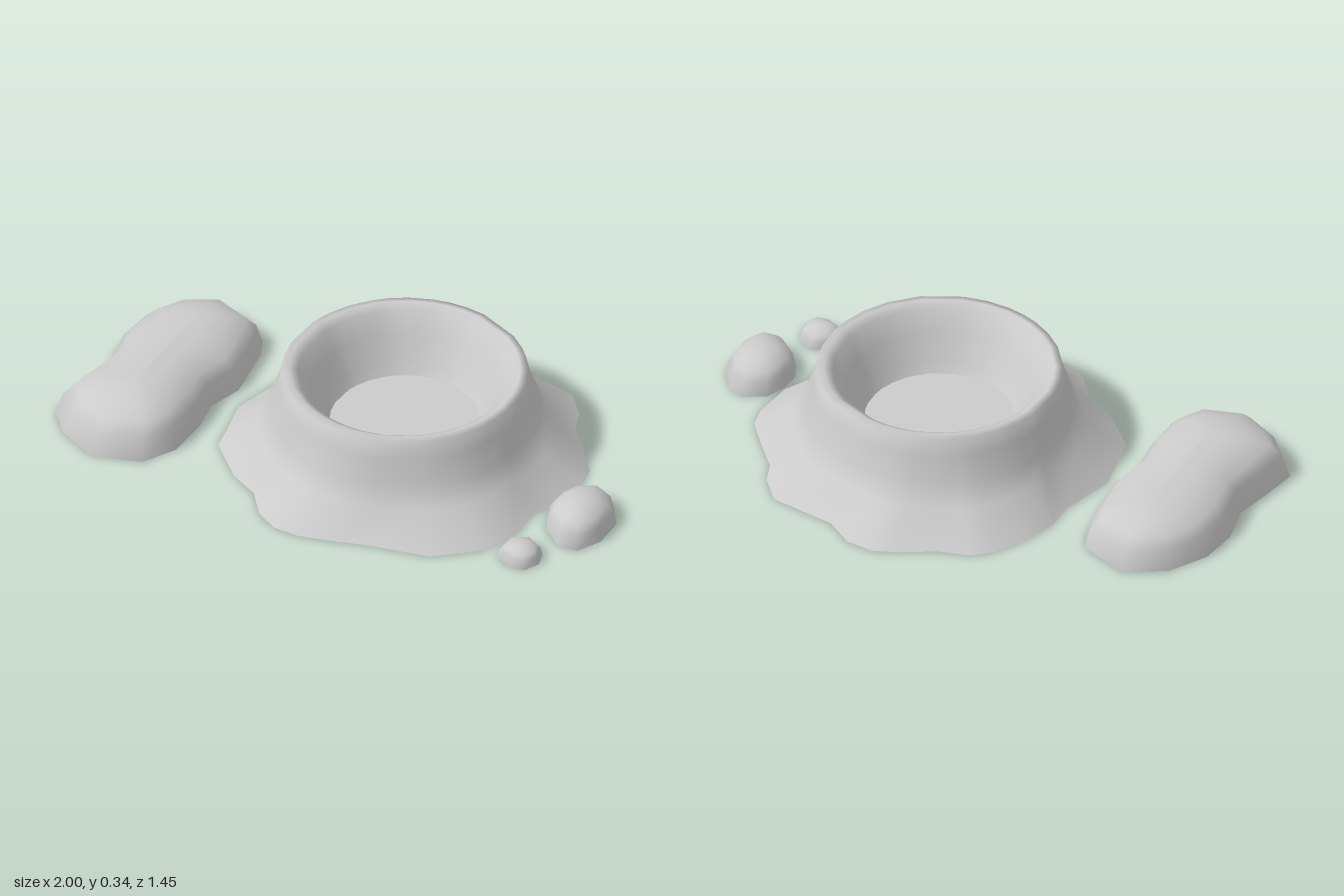
import * as THREE from 'three';
import { mergeVertices } from 'three/addons/utils/BufferGeometryUtils.js';

const material = new THREE.MeshStandardMaterial({ color: 0xcccccc, side: THREE.DoubleSide });

// Smooth open skin through closed rings of equal length, listed from the outside in.
function skin(name, rings) {
  const n = rings[0].length;
  const index = [];
  for (let i = 0; i < rings.length - 1; i++) {
    for (let j = 0; j < n; j++) {
      const a = i * n + j, b = i * n + (j + 1) % n;
      index.push(a, a + n, b, b, a + n, b + n);
    }
  }
  let geometry = new THREE.BufferGeometry();
  geometry.setAttribute('position', new THREE.Float32BufferAttribute(rings.flat(2), 3));
  geometry.setIndex(index);
  geometry = mergeVertices(geometry, 1e-4);
  geometry.computeVertexNormals();
  const mesh = new THREE.Mesh(geometry, material);
  mesh.name = name;
  return mesh;
}

// Rounded mound: a ground outline [x, z] drawn up onto a spine from a to b ([x, z, height]).
const dome = [[1, 0], [0.9, 0.5], [0.76, 0.72], [0.5, 0.9], [0.25, 0.975], [0, 1]];
function mound(name, outline, a, b) {
  const dx = b[0] - a[0], dz = b[1] - a[1];
  const len2 = dx * dx + dz * dz || 1;
  const rings = dome.map(([s, h]) => outline.map(([x, z]) => {
    const t = THREE.MathUtils.clamp(((x - a[0]) * dx + (z - a[1]) * dz) / len2, 0, 1);
    const cx = a[0] + t * dx, cz = a[1] + t * dz;
    return [cx + (x - cx) * s, h * (a[2] + t * (b[2] - a[2])), cz + (z - cz) * s];
  }));
  return skin(name, rings);
}

export function createModel() {
  const model = new THREE.Group();
  const cx = 0.235, cz = 0.01;

  // Wavy foot of the crater on the ground
  const foot = [
    [0.11, -0.65], [0.22, -0.63], [0.355, -0.64], [0.45, -0.635], [0.54, -0.58], [0.6, -0.475],
    [0.805, -0.335], [0.835, -0.22], [0.825, -0.135], [0.86, -0.01], [0.89, 0.115], [0.87, 0.195],
    [0.79, 0.325], [0.71, 0.38], [0.655, 0.505], [0.54, 0.61], [0.355, 0.655], [0.14, 0.6],
    [0.01, 0.58], [-0.115, 0.555], [-0.2, 0.51], [-0.255, 0.43], [-0.28, 0.31], [-0.355, 0.21],
    [-0.42, 0.03], [-0.39, -0.08], [-0.36, -0.2], [-0.22, -0.36], [-0.18, -0.455],
    [-0.09, -0.55], [0.025, -0.63],
  ];

  // Crater wall: [radius, height, share of the foot's waviness]
  const profile = [
    [0, 0, 1], [0.46, 0.1, 0.3], [0.465, 0.18, 0.08], [0.447, 0.27, 0], [0.432, 0.335, 0],
    [0.405, 0.34, 0], [0.375, 0.322, 0], [0.335, 0.25, 0], [0.29, 0.16, 0], [0.265, 0.12, 0],
  ];
  const rings = profile.map(([r, y, wave]) => foot.map(([x, z]) => {
    const d = Math.hypot(x - cx, z - cz);
    const radius = r + (d - r) * wave;
    return [cx + (x - cx) / d * radius, y, cz + (z - cz) / d * radius];
  }));
  model.add(skin('craterWall', rings));

  // Flat floor, sharing the wall's inner edge
  const inner = rings[rings.length - 1];
  model.add(skin('craterFloor', [inner, inner.map(() => [cx, 0.12, cz])]));

  // Long waisted mound at the back right
  model.add(mound('longMound', [
    [-0.595, -0.72], [-0.43, -0.73], [-0.295, -0.59], [-0.3, -0.505], [-0.365, -0.3],
    [-0.455, -0.2], [-0.49, -0.08], [-0.565, 0.065], [-0.68, 0.145], [-0.865, 0.115],
    [-0.965, -0.015], [-1, -0.135], [-0.92, -0.25], [-0.835, -0.36], [-0.8, -0.51], [-0.725, -0.63],
  ], [-0.71, -0.12, 0.175], [-0.53, -0.51, 0.16]));

  // Two small mounds at the front left
  model.add(mound('mediumMound', [
    [0.755, 0.4], [0.79, 0.335], [0.85, 0.28], [0.94, 0.275], [0.985, 0.33],
    [1, 0.425], [0.95, 0.535], [0.87, 0.595], [0.8, 0.565], [0.755, 0.47],
  ], [0.875, 0.43, 0.112], [0.875, 0.43, 0.112]));
  model.add(mound('smallMound', [
    [0.59, 0.645], [0.63, 0.57], [0.71, 0.565], [0.75, 0.62], [0.74, 0.68], [0.69, 0.72], [0.64, 0.7],
  ], [0.672, 0.64, 0.063], [0.672, 0.64, 0.063]));

  return model;
}
